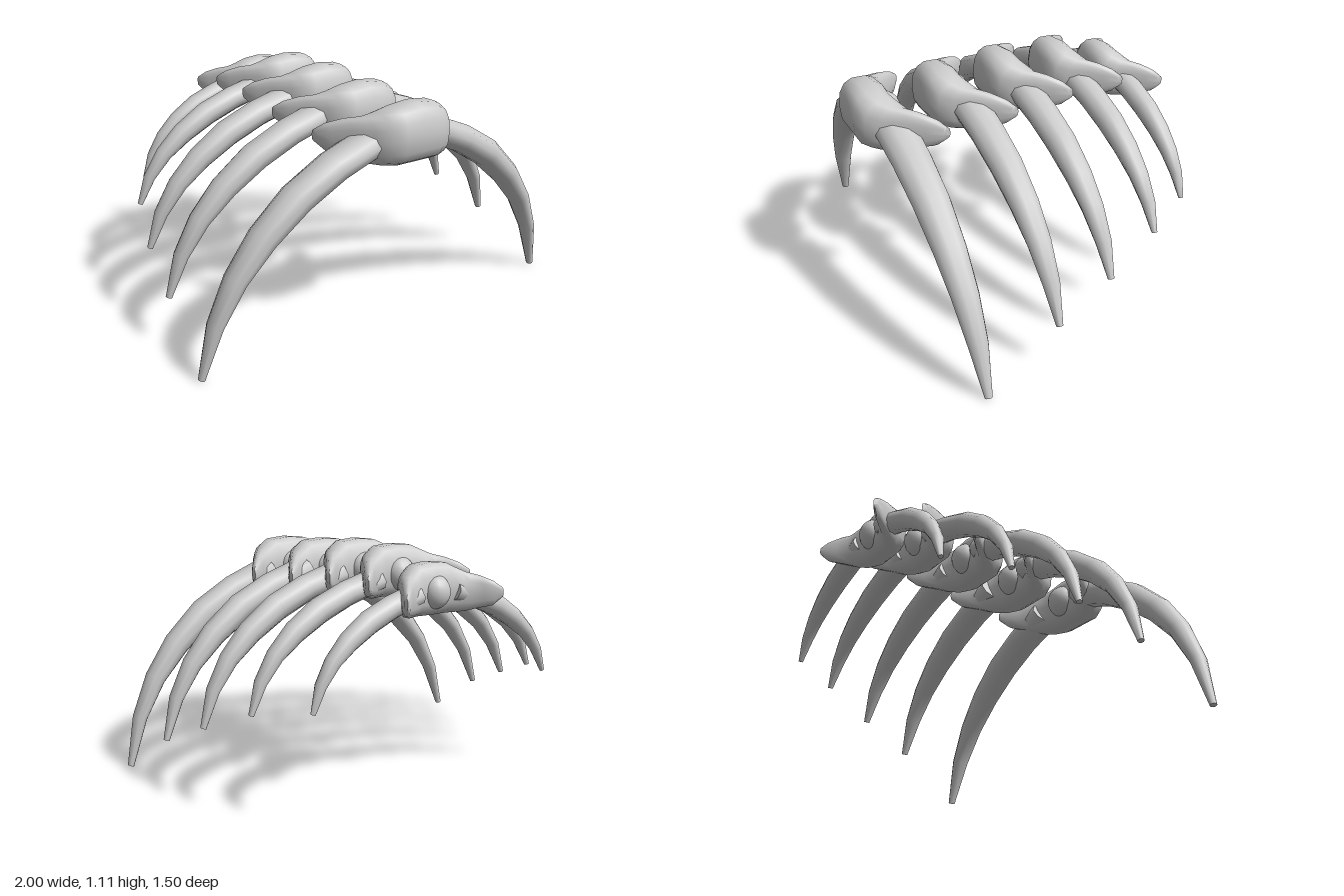
import * as THREE from 'three';
import { toCreasedNormals } from 'three/addons/utils/BufferGeometryUtils.js';

const material = new THREE.MeshStandardMaterial({ color: 0xcccccc });

// Skins a list of rings (equal point counts) and closes both ends.
function loft(rings, crease) {
  const n = rings[0].length, pos = [], index = [];
  rings.forEach(r => r.forEach(p => pos.push(p.x, p.y, p.z)));
  for (let i = 0; i < rings.length - 1; i++) {
    for (let j = 0; j < n; j++) {
      const a = i * n + j, b = i * n + (j + 1) % n;
      index.push(a, a + n, b, b, a + n, b + n);
    }
  }
  const last = (rings.length - 1) * n;
  for (let j = 1; j < n - 1; j++) {
    index.push(0, j, j + 1, last, last + j + 1, last + j);
  }
  const g = new THREE.BufferGeometry();
  g.setAttribute('position', new THREE.Float32BufferAttribute(pos, 3));
  g.setIndex(index);
  return toCreasedNormals(g, crease);
}

const soften = (v, e) => Math.sign(v) * Math.pow(Math.abs(v), e);

// Vertebra half: x, centre z, half depth, centre y, half height
const BODY = [
  [0, 0.643, 0.103, 0.932, 0.133],
  [0.1, 0.645, 0.1, 0.928, 0.128],
  [0.16, 0.615, 0.1, 0.915, 0.112],
  [0.2, 0.578, 0.078, 0.908, 0.1],
  [0.25, 0.51, 0.056, 0.91, 0.083],
  [0.3, 0.445, 0.038, 0.905, 0.062],
  [0.335, 0.402, 0.017, 0.91, 0.026],
];

// Rib: x, y, half depth in z, half thickness
const RIB = [
  [0.15, 0.905, 0.097, 0.066],
  [0.36, 0.82, 0.09, 0.068],
  [0.54, 0.715, 0.084, 0.07],
  [0.7, 0.575, 0.074, 0.062],
  [0.825, 0.42, 0.062, 0.048],
  [0.92, 0.235, 0.046, 0.034],
  [0.985, 0.003, 0.018, 0.015],
];

const SEGMENTS = [
  { front: 0.745, length: 0.36, wing: 0.335, top: 1.065, height: 0.265, reach: 1, apex: 0.94, tipY: 0, rootZ: 0.585, tipZ: 0.513, width: 1 },
  { front: 0.395, length: 0.345, wing: 0.32, top: 1.085, height: 0.255, reach: 0.955, apex: 0.975, tipY: 0.22, rootZ: 0.225, tipZ: 0.16, width: 0.9 },
  { front: 0.085, length: 0.325, wing: 0.3, top: 1.11, height: 0.25, reach: 0.9, apex: 0.985, tipY: 0.34, rootZ: -0.06, tipZ: -0.12, width: 0.83 },
  { front: -0.21, length: 0.305, wing: 0.285, top: 1.11, height: 0.24, reach: 0.81, apex: 0.98, tipY: 0.45, rootZ: -0.345, tipZ: -0.395, width: 0.73 },
  { front: -0.48, length: 0.275, wing: 0.265, top: 1.055, height: 0.235, reach: 0.66, apex: 0.94, tipY: 0.49, rootZ: -0.6, tipZ: -0.64, width: 0.63 },
];

// Body with swept-back wings, lofted from wing tip to wing tip
function vertebraGeometry() {
  const left = BODY.slice(1).reverse().map(([x, ...rest]) => [-x, ...rest]);
  const rings = [...left, ...BODY].map(([x, z, hz, y, hy]) =>
    Array.from({ length: 14 }, (_, j) => {
      const a = (j / 14) * Math.PI * 2;
      const up = soften(Math.sin(a), 0.8);
      // the upper edge leans back from the front face
      return new THREE.Vector3(x, y + hy * up, z + hz * soften(Math.cos(a), 0.75));
    }));
  return loft(rings, 1.2);
}

// Curved tapering rib on one side
function ribGeometry(s, side) {
  const k = (s.apex - s.tipY) / 0.94;
  const centres = RIB.map(([x, y]) => {
    const yy = s.apex - (0.94 - y) * k;
    const t = (0.94 - y) / 0.94;
    const z = THREE.MathUtils.lerp(s.rootZ, s.tipZ, Math.pow(t, 0.8));
    return new THREE.Vector3(x * s.reach, yy, z);
  });
  const rings = centres.map((c, i) => {
    const a = centres[Math.max(i - 1, 0)], b = centres[Math.min(i + 1, centres.length - 1)];
    const t = new THREE.Vector2(b.x - a.x, b.y - a.y).normalize();
    const hz = RIB[i][2] * s.width, hn = RIB[i][3] * (0.3 + 0.7 * s.width);
    return Array.from({ length: 10 }, (_, j) => {
      const q = (j / 10) * Math.PI * 2;
      const n = Math.sin(q) * hn;
      return new THREE.Vector3(side * (c.x - t.y * n), c.y + t.x * n, c.z + Math.cos(q) * hz);
    });
  });
  if (side < 0) rings.reverse();
  return loft(rings, 0.9);
}

function addMesh(parent, name, geometry) {
  const mesh = new THREE.Mesh(geometry, material);
  mesh.name = name;
  parent.add(mesh);
  return mesh;
}

export function createModel() {
  const model = new THREE.Group();
  model.name = 'ribSpine';
  const body = vertebraGeometry();
  const ball = new THREE.SphereGeometry(0.085, 16, 12);

  SEGMENTS.forEach((s, i) => {
    const segment = new THREE.Group();
    segment.name = `segment${i + 1}`;

    // Vertebra fitted to this segment's size
    const vertebra = new THREE.Group();
    vertebra.name = 'vertebra';
    vertebra.scale.set(s.wing / 0.335, s.height / 0.265, s.length / 0.36);
    vertebra.position.set(0, s.top - 1.065 * vertebra.scale.y, s.front - 0.746 * vertebra.scale.z);
    addMesh(vertebra, 'vertebraBody', body);
    // Rounded joint at the back
    addMesh(vertebra, 'rearJoint', ball).position.set(0, 0.92, 0.575);
    segment.add(vertebra);

    addMesh(segment, 'leftRib', ribGeometry(s, 1));
    addMesh(segment, 'rightRib', ribGeometry(s, -1));
    model.add(segment);
  });
  return model;
}
